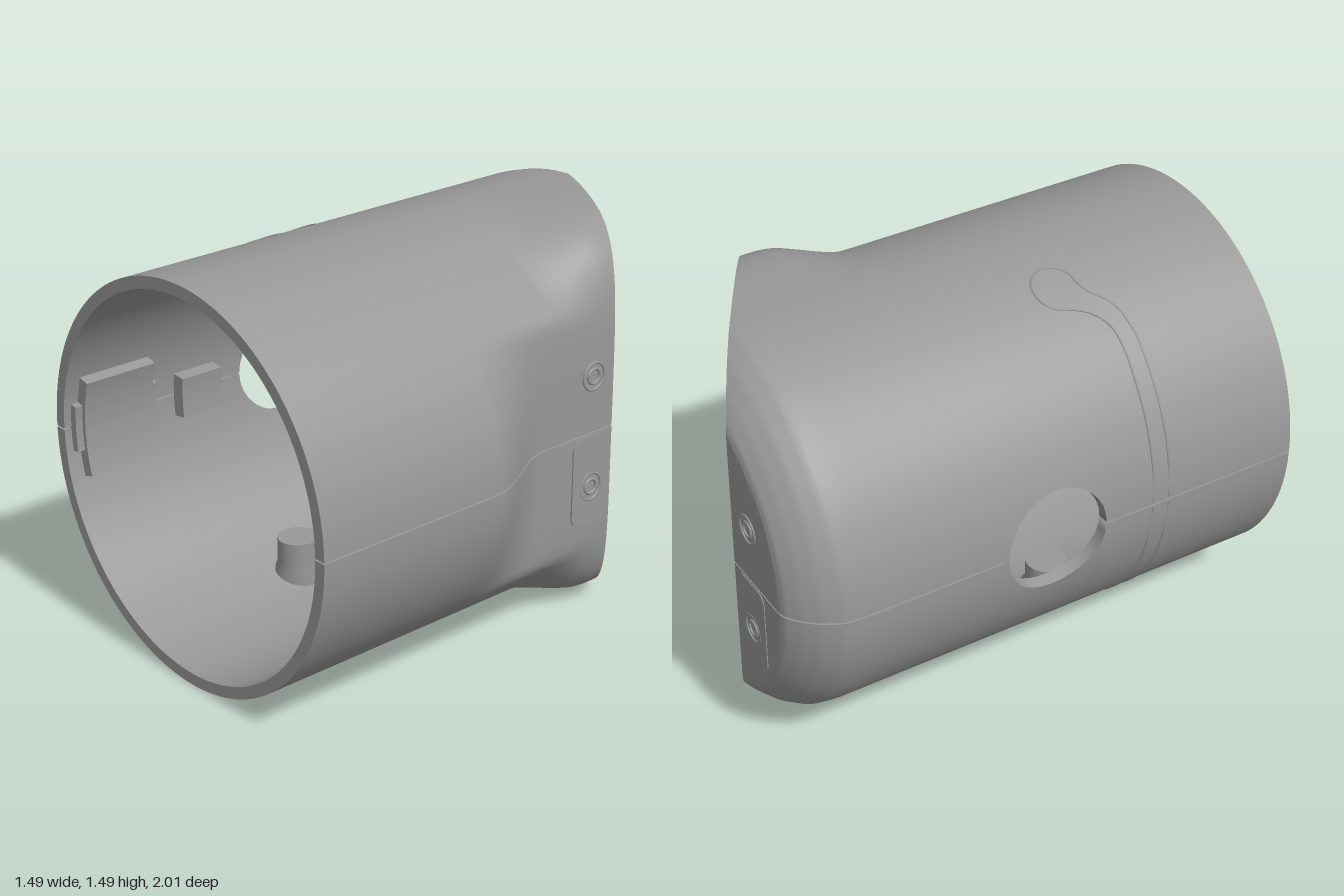
import * as THREE from 'three';

const R = 0.744, WALL = 0.045, CY = 0.745, GAP = 0.003;
const mat = new THREE.MeshStandardMaterial({ color: 0x989898, side: THREE.DoubleSide });
const { smoothstep, lerp } = THREE.MathUtils;

// Radius of the body at an angle: a circle, pinched to a rounded box on the +x side
function bodyRadius(th, z) {
  const c = Math.cos(th), s = Math.abs(Math.sin(th));
  if (c <= 0) return R;
  const n = 5;
  const box = Math.pow(Math.pow(c / 0.592, n) + Math.pow(s / R, n), -1 / n);
  const w = box < R ? 1 - smoothstep(z, -0.15, 0.24) : 1 - smoothstep(z, -0.5, -0.18);
  return lerp(R, box, w);
}

// Tail of the side profile [radius, z]: tube, rounded shoulder, flat cap
const outerTail = [[R, -0.44], [R, -0.77], [0.735, -0.84], [0.7, -0.905], [0.655, -0.955], [0.61, -0.99], [0.58, -1], [0.15, -1]];
const innerTail = outerTail.map(([r, z], i) => [r - WALL, i < 1 ? z : z + 0.04]);

function tailPoint(th, s, inner) {
  const t = inner ? innerTail : outerTail, off = inner ? WALL : 0;
  const i = Math.min(Math.floor(s), t.length - 2), k = s - i;
  const r = lerp(t[i][0], t[i + 1][0], k), z = lerp(t[i][1], t[i + 1][1], k);
  const rad = (bodyRadius(th, z) - off) * r / (R - off);
  return [rad * Math.cos(th), rad * Math.sin(th), z];
}

// Distance along the tail at which the slanted mouth cuts it
function mouthCut(th, inner) {
  let a = 0, b = outerTail.length - 1;
  for (let i = 0; i < 30; i++) {
    const m = (a + b) / 2, p = tailPoint(th, m, inner);
    if ((p[2] + 1) * 0.85 - (p[0] + 0.26) * 0.51 > 0) a = m; else b = m;
  }
  return a;
}

// Rows along the tube, close together around the round side hole
const rows = [1, 0.8, 0.6, 0.4, 0.28];
for (let i = 0; i <= 16; i++) rows.push(0.2 * Math.cos(i * Math.PI / 16));
rows.push(-0.23, -0.27, -0.31, -0.35, -0.38, -0.41, -0.44);
const TAIL = 28, NU = rows.length - 1 + TAIL, NV = 72;

function shellPoint(i, j, inner, side) {
  const z = rows[Math.min(i, rows.length - 1)];
  const hole = Math.asin(Math.sqrt(Math.max(0, 0.04 - z * z)) / R);
  const th = (Math.PI - hole) * j / NV;
  let p;
  if (i < rows.length) {
    const r = bodyRadius(th, z) - (inner ? WALL : 0);
    p = [r * Math.cos(th), r * Math.sin(th), z];
  } else p = tailPoint(th, mouthCut(th, inner) * (i - rows.length + 1) / TAIL, inner);
  return [p[0], CY + side * (p[1] + GAP), p[2]];
}

// Grid surface from a point rule
function patch(nu, nv, fn, flip) {
  const pos = [], idx = [];
  for (let i = 0; i <= nu; i++) for (let j = 0; j <= nv; j++) pos.push(...fn(i, j));
  for (let i = 0; i < nu; i++) for (let j = 0; j < nv; j++) {
    const a = i * (nv + 1) + j, b = a + 1, c = a + nv + 1, d = c + 1;
    idx.push(...(flip ? [a, b, c, b, d, c] : [a, c, b, b, c, d]));
  }
  const g = new THREE.BufferGeometry();
  g.setAttribute('position', new THREE.Float32BufferAttribute(pos, 3));
  g.setIndex(idx);
  g.computeVertexNormals();
  return g;
}

function add(parent, name, geo, x = 0, y = 0, z = 0) {
  const m = new THREE.Mesh(geo, mat);
  m.name = name;
  m.position.set(x, y, z);
  parent.add(m);
  return m;
}

// Rounded plate centred on the origin, thickness along z, optionally with a round hole
function plate(w, h, d, r, hole = 0) {
  const s = new THREE.Shape(), x = w / 2, y = h / 2;
  s.absarc(x - r, y - r, r, 0, Math.PI / 2);
  s.absarc(-x + r, y - r, r, Math.PI / 2, Math.PI);
  s.absarc(-x + r, -y + r, r, Math.PI, Math.PI * 1.5);
  s.absarc(x - r, -y + r, r, Math.PI * 1.5, Math.PI * 2);
  if (hole) s.holes.push(new THREE.Path().absarc(0, -0.03, hole, 0, Math.PI * 2, true));
  return new THREE.ExtrudeGeometry(s, { depth: d, bevelEnabled: false, curveSegments: 8 }).translate(0, 0, -d / 2);
}

// Curved plate hugging the inside wall on the +x side
function arcPlate(r0, r1, half, length) {
  const s = new THREE.Shape();
  s.absarc(0, 0, r1, -half, half, false);
  s.absarc(0, 0, r0, half, -half, true);
  return new THREE.ExtrudeGeometry(s, { depth: length, bevelEnabled: false, curveSegments: 12 });
}

// Round post from a given height up to the curved wall, its head trimmed to the wall
function post(x, r0, r1, y0, y1) {
  const g = new THREE.CylinderGeometry(r1, r0, 1, 32);
  const p = g.attributes.position;
  for (let i = 0; i < p.count; i++) {
    const wall = Math.sqrt((R - 0.02) ** 2 - (x + p.getX(i)) ** 2);
    p.setY(i, Math.min(p.getY(i) > 0 ? y1 : y0, wall));
  }
  return g;
}

// Two countersunk screw seats and a tab, facing +z
function screwMount() {
  const g = new THREE.Group();
  for (const y of [0.215, -0.215]) {
    add(g, 'screwSeat', new THREE.TorusGeometry(0.052, 0.005, 8, 28), 0, y, 0.002);
    add(g, 'screwSocket', new THREE.TorusGeometry(0.028, 0.006, 8, 24), 0, y, 0.002);
  }
  add(g, 'screwTab', plate(0.19, 0.34, 0.01, 0.04, 0.052), 0, -0.185, 0);
  return g;
}

export function createModel() {
  const model = new THREE.Group();
  model.name = 'tubeHousing';

  for (const side of [1, -1]) {
    // Half shell: skins, front lip, mouth rim and seam edges
    const half = new THREE.Group();
    half.name = side > 0 ? 'upperShell' : 'lowerShell';
    model.add(half);
    const f = side < 0;
    const P = (i, j, k) => shellPoint(i, j, k === 1, side);
    add(half, 'outerSkin', patch(NU, NV, (i, j) => P(i, j, 0), f));
    add(half, 'innerSkin', patch(NU, NV, (i, j) => P(i, j, 1), !f));
    add(half, 'frontLip', patch(1, NV, (k, j) => P(0, j, k), !f));
    add(half, 'mouthRim', patch(1, NV, (k, j) => P(NU, j, k), f));
    add(half, 'rightSeamEdge', patch(NU, 1, (i, k) => P(i, 0, k), !f));
    add(half, 'leftSeamEdge', patch(NU, 1, (i, k) => P(i, NV, k), f));

    // Collared pins, pointing inwards
    for (const x of [-0.28, 0.275]) {
      const pin = new THREE.Group();
      pin.name = 'pin';
      pin.position.set(x, CY, 0.27);
      if (f) pin.rotation.x = Math.PI;
      add(pin, 'pinShaft', post(x, 0.078, 0.078, 0.515, 0.64));
      add(pin, 'pinCollarTaper', post(x, 0.079, 0.1, 0.615, 0.638));
      add(pin, 'pinCollar', post(x, 0.1, 0.1, 0.638, 1));
      half.add(pin);
    }

    // Keyhole cable channel outline, wrapped over the skin: [x, z] then down to the seam
    const pts = [];
    const wrap = (th, z) => pts.push(new THREE.Vector3(R * Math.cos(th), CY + side * (R * Math.sin(th) + GAP), z));
    const over = (x, z) => wrap(Math.acos(x / R), z);
    const runTo = [2.5, 2.7, 2.9, 3.13];
    runTo.slice().reverse().forEach(t => wrap(t, 0.398));
    [[-0.5, 0.398], [-0.45, 0.385], [-0.4, 0.34]].forEach(p => over(...p));
    for (let i = 0; i <= 12; i++) {
      const a = Math.PI + 0.1 + i * 0.39;
      over(-0.28 + 0.085 * Math.cos(a), 0.27 + 0.085 * Math.sin(a));
    }
    [[-0.33, 0.375], [-0.39, 0.435], [-0.48, 0.463]].forEach(p => over(...p));
    runTo.forEach(t => wrap(t, 0.465));
    add(half, 'cableChannelLine', new THREE.TubeGeometry(new THREE.CatmullRomCurve3(pts), 160, 0.004, 6));
  }

  // Strip closing the seam from inside on the +x wall
  add(model, 'seamStrip', patch(rows.length - 1, 2, (i, j) => {
    const th = (j - 1) * 0.03, r = bodyRadius(th, rows[i]) - WALL - 0.003;
    return [r * Math.cos(th), CY + r * Math.sin(th), rows[i]];
  }, true));

  // Joining clips near the front, on both sides
  for (const sx of [1, -1]) {
    const clip = new THREE.Group();
    clip.name = sx > 0 ? 'leftClip' : 'rightClip';
    clip.position.y = CY;
    clip.rotation.z = sx > 0 ? 0 : Math.PI;
    add(clip, 'clipPlate', arcPlate(0.655, 0.705, 0.28, 0.3), 0, 0, 0.64);
    add(clip, 'clipTongue', arcPlate(0.67, 0.71, 0.13, 0.36), 0, 0, 0.61);
    model.add(clip);
  }

  // Smaller clips along the -x wall
  for (const [z, len] of [[0.33, 0.18], [-0.36, 0.14], [-0.78, 0.29]]) {
    add(model, 'wallClip', arcPlate(0.645, 0.7, 0.12, len), 0, CY, z).rotation.z = Math.PI;
  }

  // Backing plates beside the mouth, and a block on the pinched side
  add(model, 'capBackingPlate', plate(0.27, 0.72, 0.06, 0.05), -0.315, 0.705, -0.925);
  const sidePlate = add(model, 'sideBackingPlate', plate(0.24, 0.72, 0.06, 0.04), 0.512, 0.705, -0.37);
  sidePlate.rotation.set(0, Math.PI / 2, -0.03);
  add(model, 'sideBlock', new THREE.BoxGeometry(0.11, 0.175, 0.15), 0.568, 0.763, 0.08);

  // Screw mounts on the pinched side and on the cap
  const sideMount = screwMount();
  sideMount.name = 'sideScrewMount';
  sideMount.position.set(0.592, 0.75, -0.385);
  sideMount.rotation.y = Math.PI / 2;
  const capMount = screwMount();
  capMount.name = 'capScrewMount';
  capMount.position.set(-0.38, 0.75, -0.998);
  capMount.rotation.y = Math.PI;
  model.add(sideMount, capMount);

  return model;
}
